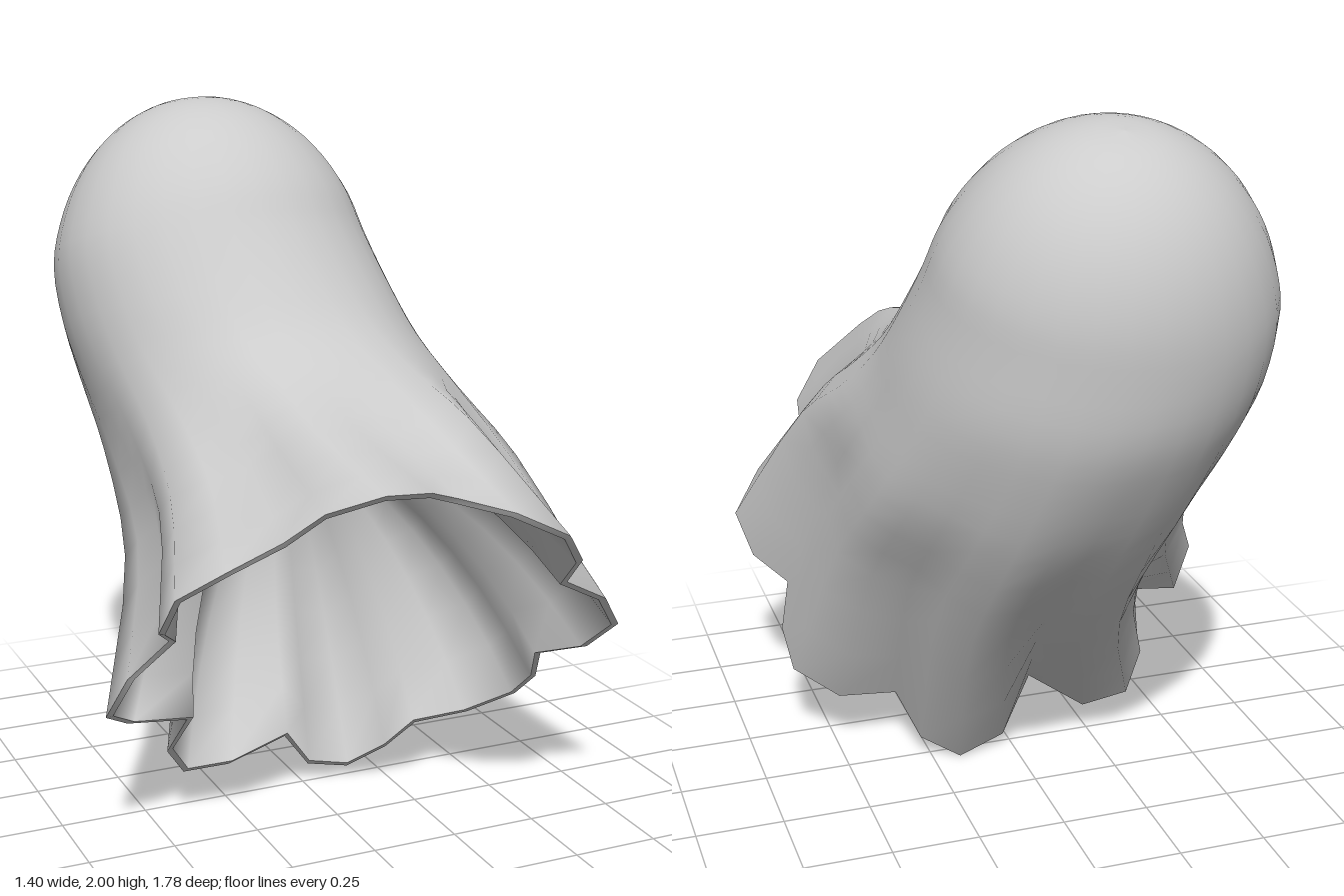
import * as THREE from 'three';

const V = (x, y, z) => new THREE.Vector3(x, y, z);
const SIDES = 32;   // four columns for each of eight folds
const STEPS = 3;    // rows between control rings

// Scalloped hem, four points per fold: valley, corner, tip, corner
const HEM = [
  [0.08, 1.09, 0.80], [0.20, 1.06, 0.88], [0.36, 0.98, 0.88], [0.45, 0.88, 0.80],
  [0.46, 0.79, 0.71], [0.61, 0.71, 0.67], [0.70, 0.60, 0.60], [0.67, 0.50, 0.49],
  [0.59, 0.45, 0.37], [0.63, 0.34, 0.28], [0.62, 0.25, 0.18], [0.50, 0.18, 0.10],
  [0.33, 0.17, 0.09], [0.28, 0.06, -0.01], [0.17, 0.00, -0.05], [0.03, 0.04, -0.03],
  [-0.08, 0.18, 0.05], [-0.23, 0.09, -0.02], [-0.38, 0.10, 0.00], [-0.45, 0.20, 0.06],
  [-0.44, 0.35, 0.20], [-0.60, 0.35, 0.16], [-0.70, 0.43, 0.28], [-0.67, 0.57, 0.38],
  [-0.57, 0.68, 0.43], [-0.64, 0.75, 0.55], [-0.63, 0.87, 0.65], [-0.52, 0.95, 0.72],
  [-0.36, 1.00, 0.70], [-0.30, 1.10, 0.82], [-0.17, 1.15, 0.89], [-0.04, 1.14, 0.88],
].map(p => V(...p));

// Body sections: front (z, y), back (z, y), left and right x, fold depth
const SECTIONS = [
  { f: [-0.04, 1.68], b: [-0.88, 1.41], x: [-0.57, 0.37], fold: 0 },
  { f: [0.07, 1.53], b: [-0.85, 1.24], x: [-0.565, 0.42], fold: 0 },
  { f: [0.18, 1.41], b: [-0.78, 1.08], x: [-0.54, 0.46], fold: 0.008 },
  { f: [0.33, 1.32], b: [-0.65, 0.86], x: [-0.51, 0.51], fold: 0.025 },
  { f: [0.56, 1.23], b: [-0.40, 0.54], x: [-0.51, 0.55], fold: 0.07 },
];

function sectionRing({ f, b, x, fold }, scale = 1, lift = V(0, 0, 0)) {
  const centre = V((x[0] + x[1]) / 2, (f[1] + b[1]) / 2, (f[0] + b[0]) / 2).add(lift);
  const forward = V(0, (f[1] - b[1]) / 2, (f[0] - b[0]) / 2);
  const across = V((x[1] - x[0]) / 2, 0, 0);
  return Array.from({ length: SIDES }, (_, i) => {
    const t = i / SIDES * Math.PI * 2;
    const r = scale * (1 - fold * Math.cos(8 * t));
    return centre.clone().addScaledVector(forward, r * Math.cos(t)).addScaledVector(across, r * Math.sin(t));
  });
}

// Triangles joining a stack of closed rings
function skin(rings) {
  const pos = [], index = [];
  rings.forEach(ring => ring.forEach(p => pos.push(p.x, p.y, p.z)));
  for (let j = 0; j < rings.length - 1; j++) {
    for (let i = 0; i < SIDES; i++) {
      const n = (i + 1) % SIDES;
      const a = j * SIDES + i, b = j * SIDES + n, c = a + SIDES, d = b + SIDES;
      index.push(a, c, b, b, c, d);
    }
  }
  const g = new THREE.BufferGeometry();
  g.setAttribute('position', new THREE.Float32BufferAttribute(pos, 3));
  g.setIndex(index);
  g.computeVertexNormals();
  return g;
}

export function createModel() {
  const group = new THREE.Group();
  group.name = 'drapedSheet';
  const cloth = new THREE.MeshStandardMaterial({ color: 0xcccccc });
  cloth.name = 'pale grey cloth';

  // Control rings: rounded crown, leaning body, scalloped hem
  const up = V(0, 0.949, -0.316), controls = [];
  const domeRows = 6, domeEnd = THREE.MathUtils.degToRad(78);
  for (let k = 0; k < domeRows; k++) {
    const a = k / domeRows * domeEnd;
    const lift = up.clone().multiplyScalar(0.58 * (Math.cos(a) - Math.cos(domeEnd)));
    controls.push(sectionRing(SECTIONS[0], Math.sin(a) / Math.sin(domeEnd), lift));
  }
  SECTIONS.forEach(s => controls.push(sectionRing(s)));
  controls.push(HEM);

  // Smooth curve down every column
  const rows = (controls.length - 1) * STEPS;
  const columns = HEM.map((_, i) => new THREE.CatmullRomCurve3(controls.map(r => r[i])));
  const outer = Array.from({ length: rows + 1 }, (_, j) => columns.map(c => c.getPoint(j / rows)));

  // Underside: a pleated bowl curving from the hem up to a point inside the body
  const hemCentre = V(0, 0.56, 0.42), hollowTip = V(0, 1.07, -0.14);
  const lip = HEM.map(p => p.clone().addScaledVector(hemCentre.clone().sub(p).normalize(), 0.02));
  const wall = sectionRing(SECTIONS[4]).map(p => p.lerp(hollowTip, 0.15));
  const pleats = lip.map((p, i) => new THREE.QuadraticBezierCurve3(p, wall[i], hollowTip));
  const hollow = Array.from({ length: 9 }, (_, j) => pleats.map(c => c.getPoint(j / 8)));

  const add = (name, geometry) => {
    const mesh = new THREE.Mesh(geometry, cloth);
    mesh.name = name;
    group.add(mesh);
  };
  add('outerCloth', skin(outer));
  add('hemEdge', skin([HEM, lip]));
  add('pleatedUnderside', skin(hollow));
  return group;
}
